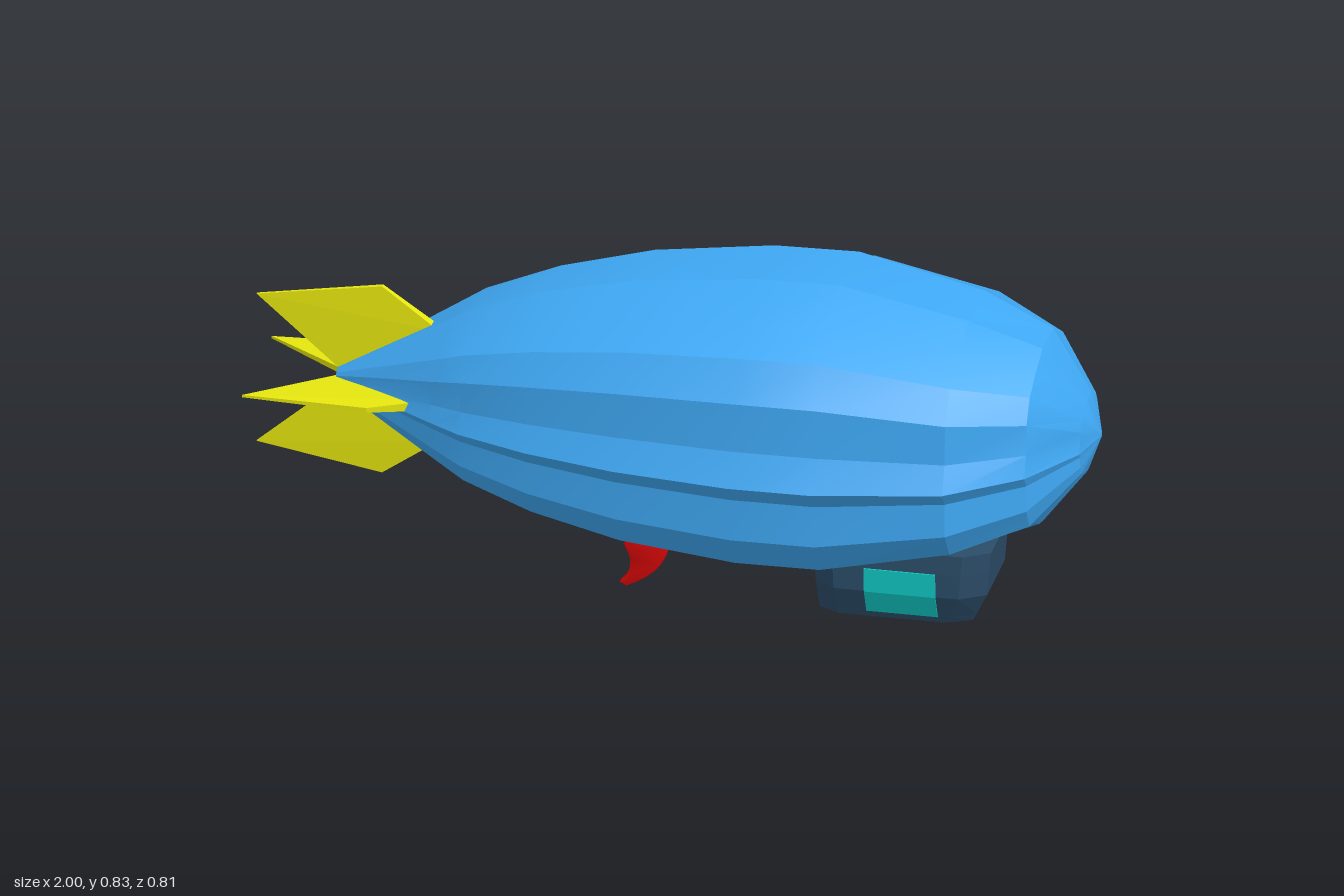
import * as THREE from 'three';
import { toCreasedNormals } from 'three/addons/utils/BufferGeometryUtils.js';
import { ConvexGeometry } from 'three/addons/geometries/ConvexGeometry.js';

const paint = (color, flatShading = false) => new THREE.MeshStandardMaterial({ color, flatShading });
const BLUE = paint(0x3fa9f5), YELLOW = paint(0xe6e60f, true), RED = paint(0xdd0808);
const NAVY = paint(0x2b4c68, true), TEAL = paint(0x10c9c4, true);

function part(name, geometry, material) {
  const mesh = new THREE.Mesh(geometry, material);
  mesh.name = name;
  return mesh;
}

// Skin between rings of [x, y, z] points; both ends close to their centre.
function loft(rings, crease) {
  const n = rings[0].length;
  const centre = (ring) => {
    const c = [0, 1, 2].map((k) => ring.reduce((s, p) => s + p[k], 0) / n);
    return ring.map(() => c);
  };
  const all = [centre(rings[0]), ...rings, centre(rings[rings.length - 1])];
  const index = [], last = all.length - 2;
  for (let i = 0; i <= last; i++) {
    for (let j = 0; j < n; j++) {
      const a = i * n + j, b = i * n + (j + 1) % n;
      if (i > 0) index.push(a, b, a + n);
      if (i < last) index.push(b, b + n, a + n);
    }
  }
  const geo = new THREE.BufferGeometry();
  geo.setAttribute('position', new THREE.Float32BufferAttribute(all.flat(2), 3));
  geo.setIndex(index);
  geo.computeVertexNormals();
  return toCreasedNormals(geo, crease);
}

// Ribbed gas envelope: one lobed section [z, y] scaled along the length
function makeHull() {
  const section = [
    [0.07, 0.367], [0.2, 0.32], [0.305, 0.27], [0.365, 0.18], [0.37, 0.06], [0.405, -0.02],
    [0.37, -0.065], [0.368, -0.17], [0.31, -0.255], [0.2, -0.29], [0.13, -0.325], [0.05, -0.345],
    [-0.05, -0.345], [-0.13, -0.32], [-0.27, -0.29], [-0.315, -0.195], [-0.385, -0.12],
    [-0.405, -0.02], [-0.37, 0.08], [-0.365, 0.18], [-0.305, 0.27], [-0.21, 0.31], [-0.13, 0.362],
  ];
  // [x, height scale, width scale]
  const stations = [
    [-0.805, 0.07, 0.07], [-0.7, 0.24, 0.23], [-0.55, 0.48, 0.47], [-0.47, 0.61, 0.59],
    [-0.3, 0.78, 0.75], [-0.08, 0.92, 0.89], [0.2, 1, 0.99], [0.4, 1, 1],
    [0.7, 0.81, 0.89], [0.87, 0.63, 0.6], [0.97, 0.26, 0.26], [1, 0.02, 0.02],
  ];
  const rings = stations.map(([x, h, w]) =>
    section.map(([z, y]) => [x, 0.46 + y * h, 0.008 - 0.037 * x + z * w]));
  return part('hull', loft(rings, 0.32), BLUE);
}

// Tail fins: tapered wedges around the tail
function makeFins() {
  const fins = new THREE.Group();
  fins.name = 'tailFins';
  for (let i = 0; i < 4; i++) {
    const s = i % 2 ? 0.86 : 1;
    const outline = [ // x, radius, half thickness
      [-1, 0.19, 0.003], [-0.7, 0.24 * s / 1, 0.006], [-0.56, 0.14, 0.013],
      [-0.5, 0.05, 0.014], [-0.79, 0.01, 0.008],
    ];
    const pts = outline.flatMap(([x, r, t]) =>
      [-1, 1].map((side) => new THREE.Vector3(x, r * s, side * t)));
    const fin = part('tailFin', new ConvexGeometry(pts), YELLOW);
    fin.rotation.x = i * Math.PI / 2;
    fins.add(fin);
  }
  fins.position.set(0, 0.463, 0.034);
  return fins;
}

// Cabin under the hull: chamfered plan stacked over a few heights
function makeCabin() {
  const cabin = new THREE.Group();
  cabin.name = 'cabin';
  // [y, rear x, front x, half width]
  const levels = [
    [0, 0.352, 0.715, 0.1], [0.018, 0.35, 0.725, 0.108], [0.08, 0.347, 0.755, 0.135],
    [0.14, 0.345, 0.76, 0.138], [0.19, 0.345, 0.765, 0.136],
  ];
  const rings = levels.map(([y, r, f, w]) => [
    [f, w * 0.72], [f, -w * 0.72], [f - 0.06, -w], [r + 0.05, -w],
    [r, -w * 0.75], [r, w * 0.75], [r + 0.05, w], [f - 0.06, w],
  ].map(([x, z]) => [x, y, z]));
  cabin.add(part('cabinBody', loft(rings, 0.2), NAVY));

  // One block through the cabin shows as a window on each side
  const half = [[0.112, 0.018], [0.139, 0.08], [0.142, 0.14]];
  const outline = [...half, ...half.map(([z, y]) => [-z, y]).reverse()];
  const shape = new THREE.Shape(outline.map(([z, y]) => new THREE.Vector2(z, y)));
  const windows = new THREE.ExtrudeGeometry(shape, { depth: 0.17, bevelEnabled: false });
  windows.rotateY(Math.PI / 2).translate(0.47, 0, 0);
  cabin.add(part('sideWindows', windows, TEAL));
  return cabin;
}

// Curved hook fins under the belly, thinning toward the tip
function makeHook(z, lean) {
  const shape = new THREE.Shape();
  shape.moveTo(0.022, 0.035);
  shape.lineTo(0.022, -0.01);
  shape.quadraticCurveTo(0.01, -0.07, -0.075, -0.11);
  shape.lineTo(-0.09, -0.102);
  shape.quadraticCurveTo(-0.045, -0.06, -0.08, 0);
  shape.lineTo(-0.075, 0.035);
  const geo = new THREE.ExtrudeGeometry(shape, {
    depth: 0.024, bevelThickness: 0.008, bevelSize: 0.005, bevelOffset: -0.004, bevelSegments: 2, curveSegments: 6,
  });
  geo.translate(0, 0, -0.012);
  const p = geo.attributes.position;
  for (let i = 0; i < p.count; i++) {
    p.setZ(i, p.getZ(i) * THREE.MathUtils.clamp(1.05 + p.getY(i) * 4, 0.55, 1.05));
  }
  const hook = part('bellyHook', toCreasedNormals(geo, 0.7), RED);
  hook.position.set(0, 0.195, z);
  hook.rotation.x = lean;
  return hook;
}

export function createModel() {
  const airship = new THREE.Group();
  airship.name = 'airship';
  airship.add(makeHull(), makeFins(), makeCabin(), makeHook(0.225, 0), makeHook(-0.155, 0.25));
  return airship;
}
